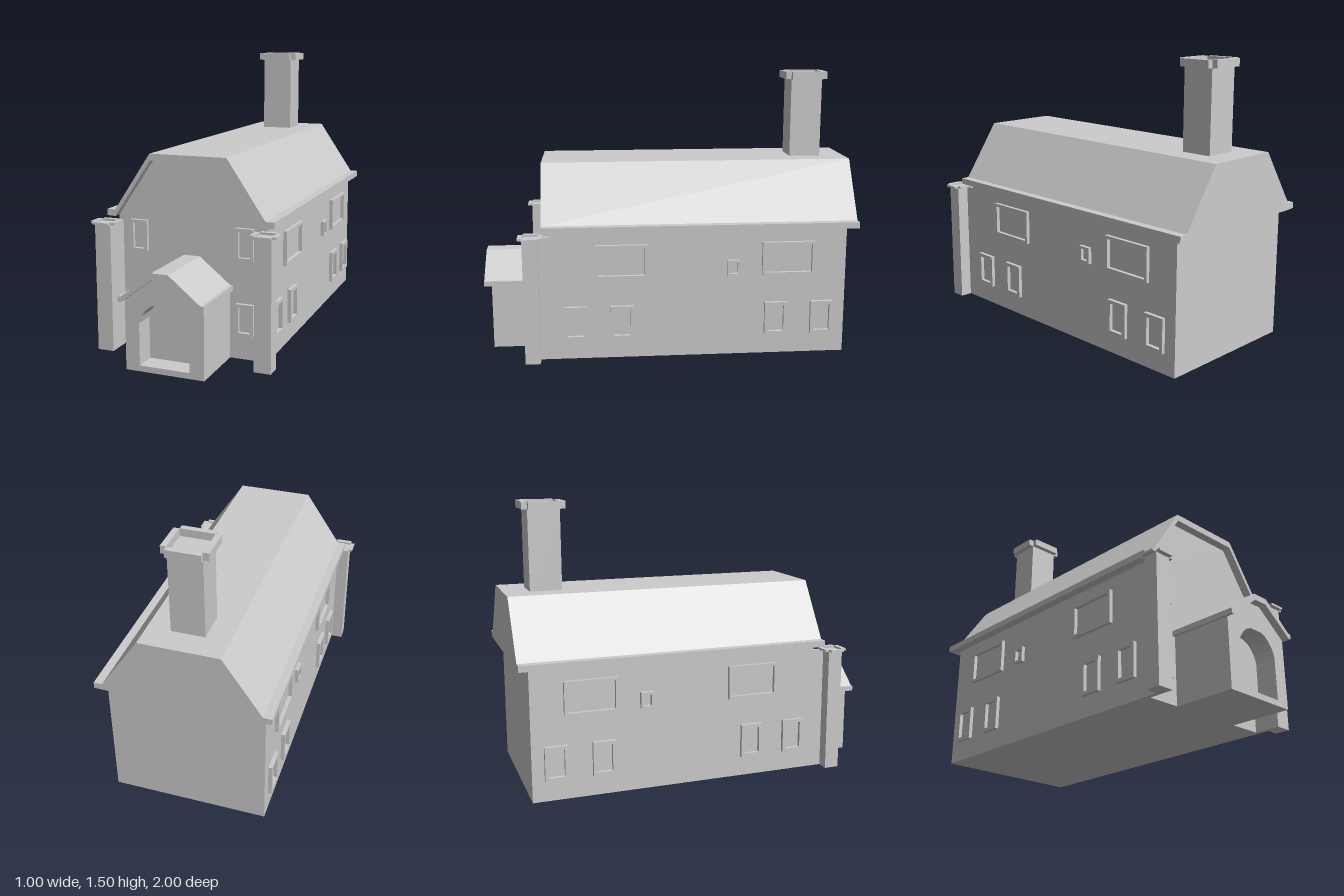
import * as THREE from 'three';

const material = new THREE.MeshStandardMaterial({ color: 0xcccccc, flatShading: true });

// Mirrors a half outline (right side, bottom to top) into a full one
const mirror = (half) => [...half, ...half.slice().reverse().map(([x, y]) => [-x, y])];
const vectors = (pts) => pts.map(([x, y]) => new THREE.Vector2(x, y));
const rect = (w, h) => [[w / 2, -h / 2], [w / 2, h / 2], [-w / 2, h / 2], [-w / 2, -h / 2]];

function add(parent, name, geometry) {
  const mesh = new THREE.Mesh(geometry, material);
  mesh.name = name;
  parent.add(mesh);
  return mesh;
}

// Extrudes an outline from z0 to z1
function prism(parent, name, outline, z0, z1, hole) {
  const shape = new THREE.Shape(vectors(outline));
  if (hole) shape.holes.push(new THREE.Path(vectors(hole)));
  const geometry = new THREE.ExtrudeGeometry(shape, { depth: z1 - z0, bevelEnabled: false });
  geometry.translate(0, 0, z0);
  return add(parent, name, geometry);
}

// Box given by its limits
function block(parent, name, x0, x1, y0, y1, z0, z1) {
  const mesh = add(parent, name, new THREE.BoxGeometry(x1 - x0, y1 - y0, z1 - z0));
  mesh.position.set((x0 + x1) / 2, (y0 + y1) / 2, (z0 + z1) / 2);
  return mesh;
}

// Square shaft ringed at the top by four separate bars that leave the corners notched
function shaftWithCap(parent, name, [x0, x1], [y0, y1], [z0, z1], capHeight, lip) {
  const group = new THREE.Group();
  group.name = name;
  const c = y1 - capHeight;
  block(group, name + 'Shaft', x0, x1, y0, c, z0, z1);
  block(group, name + 'CapRight', x0 - lip, x0, c, y1, z0, z1);
  block(group, name + 'CapLeft', x1, x1 + lip, c, y1, z0, z1);
  block(group, name + 'CapBack', x0, x1, c, y1, z0 - lip, z0);
  block(group, name + 'CapFront', x0, x1, c, y1, z1, z1 + lip);
  parent.add(group);
}

// Raised window frame around a flat pane of wall
function windowFrame(parent, w, h, border, x, y, z, turn) {
  const frame = prism(parent, 'windowFrame', rect(w, h), 0, 0.02, rect(w - 2 * border, h - 2 * border));
  frame.position.set(x, y, z);
  frame.rotation.y = turn;
}

export function createModel() {
  const house = new THREE.Group();
  house.name = 'house';
  const wallX = 0.41, frontZ = 0.63, backZ = -0.945;

  // Main walls with gambrel-like gable
  const gable = [[wallX, 0.695], [0.205, 0.995]];
  prism(house, 'walls', mirror([[wallX, 0], ...gable]), backZ, frontZ);

  // Roof shell, closed flush at the back
  const roofOuter = [[0.455, 0.697], [0.455, 0.73], [0.41, 0.73], [0.208, 1.03]];
  prism(house, 'roof', [...mirror(roofOuter), ...mirror(gable).reverse()], -1, 0.675);
  prism(house, 'backGable', mirror(gable), -1, backZ);

  // Chimney
  shaftWithCap(house, 'chimney', [-0.087, 0.087], [0.99, 1.495], [-0.865, -0.695], 0.04, 0.03);

  // Corner posts joined to the house by short wing walls
  for (const s of [-1, 1]) {
    const span = (a, b) => [s * a, s * b].sort((p, q) => p - q);
    shaftWithCap(house, 'cornerPost', span(0.387, 0.475), [0, 0.682], [0.69, 0.77], 0.012, 0.024);
    block(house, 'wingWall', ...span(0.387, wallX), 0, 0.67, frontZ, 0.69);
  }

  // Porch with recessed arched doorway
  const porch = new THREE.Group();
  porch.name = 'porch';
  house.add(porch);
  const porchGable = [[0.208, 0.355], [0.04, 0.483]];
  const porchOutline = mirror([[0.208, 0], ...porchGable]);
  const arch = mirror([[0.133, 0.03], [0.133, 0.245], [0.12, 0.282], [0.095, 0.315], [0.07, 0.335], [0.038, 0.348]]);
  prism(porch, 'porchBack', porchOutline, frontZ, 0.85);
  prism(porch, 'porchFront', porchOutline, 0.85, 0.96, arch);
  const porchOuter = [[0.224, 0.355], [0.224, 0.382], [0.208, 0.382], [0.044, 0.514]];
  prism(porch, 'porchRoof', [...mirror(porchOuter), ...mirror(porchGable).reverse()], frontZ, 1);

  // Windows, the same on both halves: [z, y, width, height, border]
  const sideWindows = [
    [0.26, 0.533, 0.28, 0.182, 0.016],
    [-0.632, 0.533, 0.283, 0.182, 0.016],
    [-0.337, 0.486, 0.07, 0.086, 0.013],
    ...[0.505, 0.257, -0.569, -0.819].map((z) => [z, 0.2, 0.122, 0.182, 0.019]),
  ];
  for (const s of [-1, 1]) {
    for (const y of [0.21, 0.597]) windowFrame(house, 0.095, 0.165, 0.016, s * 0.29, y, frontZ, 0);
    for (const [z, y, w, h, b] of sideWindows) windowFrame(house, w, h, b, s * wallX, y, z, s * Math.PI / 2);
  }
  return house;
}
